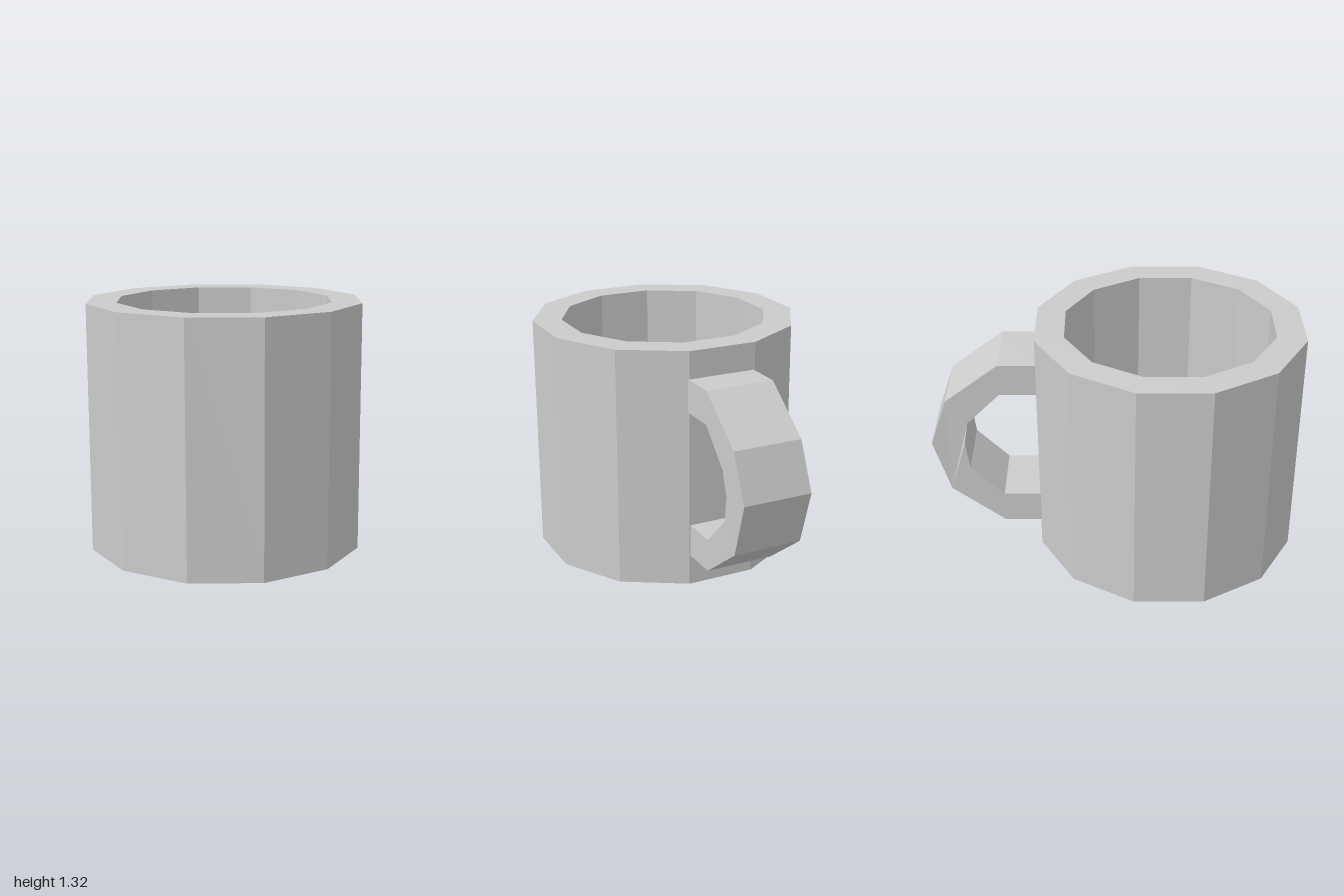
import * as THREE from 'three';

export function createModel() {
  const mug = new THREE.Group();
  mug.name = 'mug';
  const material = new THREE.MeshStandardMaterial({ color: 0xcccccc, flatShading: true });

  const add = (name, geometry) => {
    const mesh = new THREE.Mesh(geometry, material);
    mesh.name = name;
    mug.add(mesh);
    return mesh;
  };
  const points = (list) => list.map(([x, y]) => new THREE.Vector2(x, y));

  // Twelve-sided cup: base, outer wall, rim, inner wall and floor in one profile
  const height = 1.32, outer = 0.735, inner = 0.575, floor = 0.15;
  const profile = points([
    [0, 0], [outer, 0], [outer, height], [inner, height], [inner, floor], [0, floor],
  ]);
  const cup = add('cup', new THREE.LatheGeometry(profile, 12, Math.PI / 12));
  cup.position.z = 0.29;

  // Angular handle: side outline (distance behind centre, height), extruded across x
  const width = 0.38;
  const outline = points([
    [0.4, 0.17], [0.62, 0.17], [0.91, 0.39], [1.0, 0.69], [0.91, 0.95], [0.62, 1.17], [0.4, 1.17],
    [0.4, 0.99], [0.62, 0.99], [0.8, 0.81], [0.82, 0.69], [0.8, 0.53], [0.62, 0.35], [0.4, 0.35],
  ]);
  const handle = new THREE.ExtrudeGeometry(new THREE.Shape(outline), { depth: width, bevelEnabled: false });
  handle.translate(0, 0, -width / 2).rotateY(Math.PI / 2);

  // Slight sideways lean between the lower and upper halves
  const pos = handle.attributes.position;
  for (let i = 0; i < pos.count; i++) {
    pos.setX(i, pos.getX(i) + (pos.getY(i) > 0.75 ? 0.007 : -0.007));
  }
  handle.computeVertexNormals();
  add('handle', handle);

  return mug;
}
